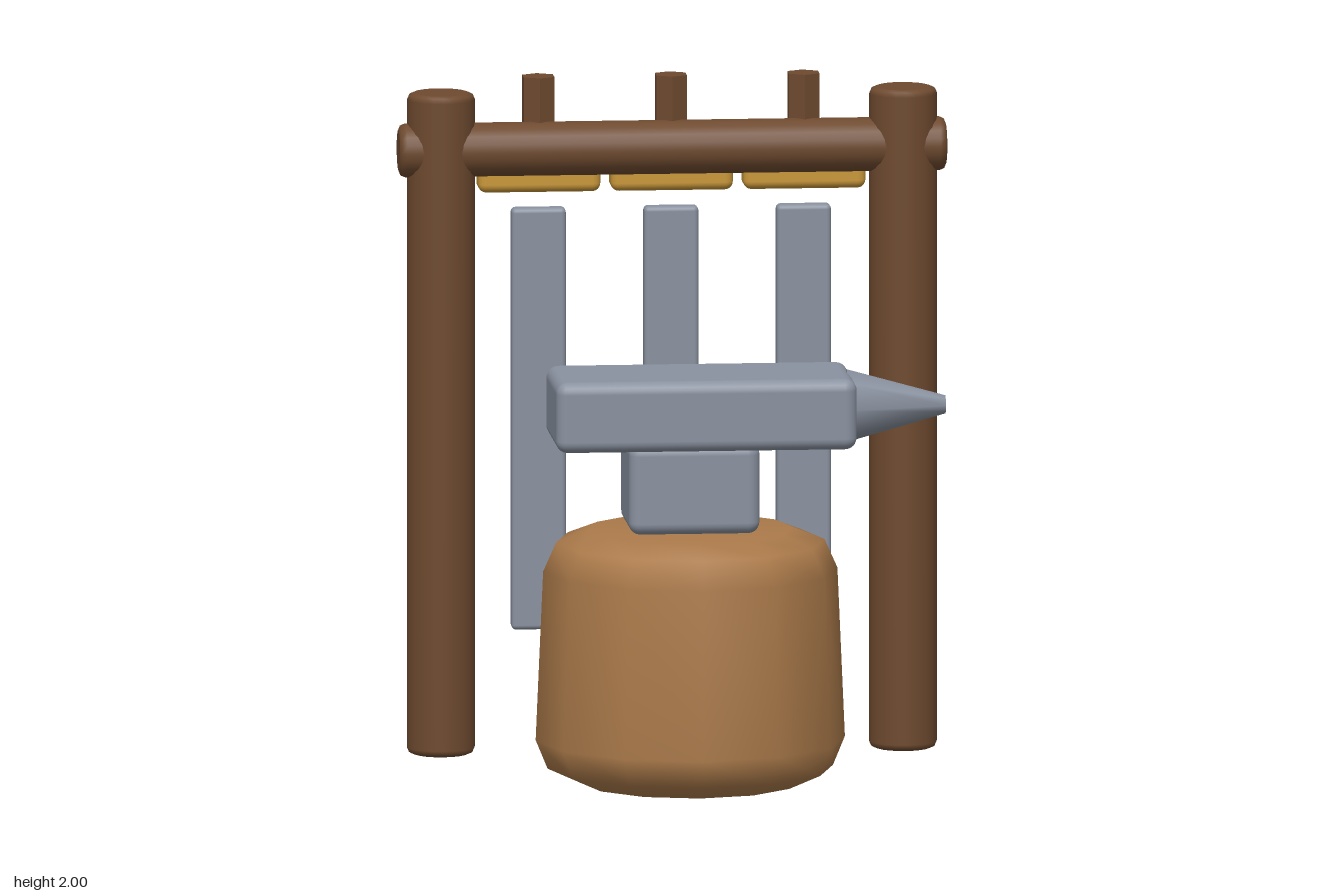
import * as THREE from 'three';
import { RoundedBoxGeometry } from 'three/addons/geometries/RoundedBoxGeometry.js';

export function createModel() {
  const group = new THREE.Group();
  const material = (name, color, flatShading = false) => {
    const m = new THREE.MeshStandardMaterial({ color, flatShading });
    m.name = name;
    return m;
  };
  const darkWood = material('darkWood', 0x6e4a2f);
  const stumpWood = material('stumpWood', 0xab7a4a);
  const steel = material('steel', 0x8a92a0);
  const brass = material('brass', 0xc9973a);

  const add = (name, geometry, mat, x, y, z) => {
    const mesh = new THREE.Mesh(geometry, mat);
    mesh.name = name;
    mesh.position.set(x, y, z);
    group.add(mesh);
    return mesh;
  };
  const lathe = (points, sides) =>
    new THREE.LatheGeometry(points.map(([r, y]) => new THREE.Vector2(r, y)), sides);
  // Round timber with softened end edges, centred on its own axis
  const log = (r, length, sides, b = 0.02) => {
    const h = length / 2;
    return lathe([[0, -h], [r - b, -h], [r - b, -h], [r - b * 0.3, -h + b * 0.3], [r, -h + b],
      [r, h - b], [r - b * 0.3, h - b * 0.3], [r - b, h], [r - b, h], [0, h]], sides);
  };
  const box = (w, h, d, r) => new RoundedBoxGeometry(w, h, d, 3, r);

  // Rack: two posts and a cross beam
  for (const [name, x] of [['rightPost', -0.68], ['leftPost', 0.68]]) {
    add(name, log(0.1, 1.96, 20), darkWood, x, 0.98, -0.485);
  }
  add('crossBeam', log(0.08, 1.61, 20), darkWood, 0, 1.79, -0.482).rotation.z = Math.PI / 2;

  // Hanging bars, brass hammer heads and their hexagonal handles
  for (const x of [-0.39, 0, 0.39]) {
    const handle = new THREE.CylinderGeometry(0.052, 0.052, 0.3, 6).toNonIndexed();
    handle.computeVertexNormals();
    add('hammerHandle', handle, darkWood, x, 1.85, -0.52);
    add('hammerHead', box(0.36, 0.1, 0.105, 0.025), brass, x, 1.71, -0.52);
    add('hangingBar', box(0.16, 1.25, 0.055, 0.014), steel, x, 0.985, -0.523);
  }

  // Twelve-sided chopping stump
  add('stump', lathe([[0, 0], [0.32, 0], [0.32, 0], [0.42, 0.045], [0.455, 0.13], [0.433, 0.63],
    [0.395, 0.715], [0.3, 0.752], [0, 0.752]], 12), stumpWood, 0, 0, 0.122);

  // Anvil: waist, body and horn
  add('anvilWaist', box(0.385, 0.27, 0.315, 0.035), steel, 0, 0.89, 0.125);
  add('anvilBody', box(0.885, 0.21, 0.385, 0.035), steel, 0.033, 1.11, 0.123);
  const horn = new THREE.CylinderGeometry(0.027, 0.108, 0.29, 8);
  add('anvilHorn', horn, steel, 0.605, 1.11, 0.125).rotation.z = -Math.PI / 2;

  return group;
}
